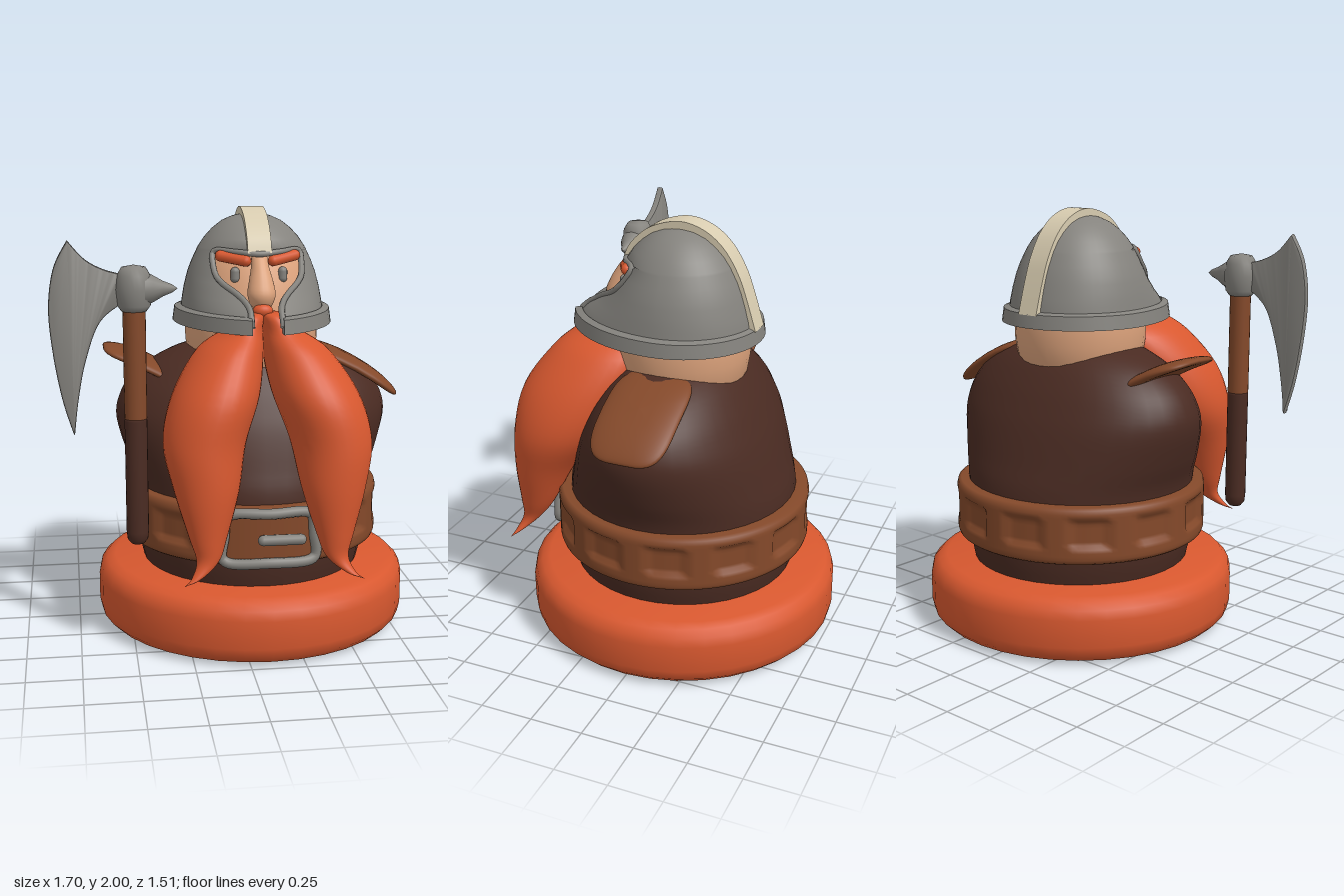
import * as THREE from 'three';
import { toCreasedNormals } from 'three/addons/utils/BufferGeometryUtils.js';

const mat = (name, color, side = THREE.FrontSide) => {
  const m = new THREE.MeshStandardMaterial({ color, side });
  m.name = name;
  return m;
};
const V = (x, y, z) => new THREE.Vector3(x, y, z);
const V2 = (x, y) => new THREE.Vector2(x, y);

// Skin between rings of points listed from bottom to top, counter-clockwise from above
function loft(rings, closed = true) {
  const n = rings[0].length, pos = [], idx = [];
  rings.forEach(r => r.forEach(p => pos.push(p.x, p.y, p.z)));
  for (let i = 0; i < rings.length - 1; i++) {
    for (let j = 0; j < (closed ? n : n - 1); j++) {
      const k = (j + 1) % n, a = i * n + j, b = i * n + k;
      idx.push(a, b, a + n, b, b + n, a + n);
    }
  }
  const g = new THREE.BufferGeometry();
  g.setAttribute('position', new THREE.Float32BufferAttribute(pos, 3));
  g.setIndex(idx);
  g.computeVertexNormals();
  return g;
}

// Smooth stack of ellipses from rows [y, centreX, centreZ, radiusX, radiusZ]
function ellipseLoft(rows, steps, n = 32) {
  const c = new THREE.CatmullRomCurve3(rows.map(r => V(r[1], r[0], r[2])), false, 'catmullrom');
  const s = new THREE.CatmullRomCurve3(rows.map(r => V(r[3], 0, r[4])), false, 'catmullrom');
  const rings = [];
  for (let i = 0; i <= steps; i++) {
    const o = c.getPoint(i / steps), r = s.getPoint(i / steps), ring = [];
    for (let j = 0; j < n; j++) {
      const a = j / n * Math.PI * 2;
      ring.push(V(o.x + Math.max(r.x, 0.001) * Math.sin(a), o.y, o.z + Math.max(r.z, 0.001) * Math.cos(a)));
    }
    rings.push(ring);
  }
  return loft(rings);
}

// Helmet outline at height y: half width w, back b, front f, opening half width ex, pointedness p
function outline([y, w, b, f, ex, p]) {
  const half = [], n = 12, end = Math.acos(Math.min(1, Math.pow(ex / w, 1 / p)));
  for (let i = 0; i <= n; i++) {
    const t = end * (1 - i / n);
    half.push(V(w * Math.pow(Math.max(0, Math.cos(t)), p), y, f * Math.sin(t)));
  }
  for (let i = 1; i <= n; i++) {
    const t = i / n * Math.PI / 2;
    half.push(V(w * Math.cos(t), y, -b * Math.sin(t)));
  }
  return half.concat(half.slice(0, -1).reverse().map(q => V(-q.x, q.y, q.z)));
}

export function createModel() {
  const orange = mat('orange', 0xd8582f), gray = mat('steel gray', 0x85837e, THREE.DoubleSide);
  const brown = mat('leather brown', 0x84492a), dark = mat('dark brown', 0x4a2b22);
  const skin = mat('skin', 0xdda37c), cream = mat('cream', 0xd8ccb0);

  const root = new THREE.Group();
  const figure = new THREE.Group();
  figure.name = 'figure';
  figure.position.x = 0.1;
  root.add(figure);
  const add = (name, geo, material, x = 0, y = 0, z = 0, parent = figure) => {
    const m = new THREE.Mesh(geo, material);
    m.name = name;
    m.position.set(x, y, z);
    parent.add(m);
    return m;
  };
  const lathe = (pts, seg = 32) => new THREE.LatheGeometry(pts.map(p => V2(p[0], p[1])), seg);

  // Round base
  add('base', toCreasedNormals(lathe([[0, 0], [0.67, 0], [0.71, 0.015], [0.74, 0.045], [0.75, 0.09], [0.75, 0.22],
    [0.74, 0.265], [0.71, 0.295], [0.67, 0.31], [0, 0.31]], 36), 0.7), orange);

  // Body: broad shoulders, narrow from the side
  add('body', ellipseLoft([[0.28, 0, 0, 0.52, 0.53], [0.43, 0, 0, 0.55, 0.55], [0.7, 0, 0, 0.56, 0.545],
    [0.85, 0, 0, 0.61, 0.505], [1.0, 0, 0, 0.65, 0.455], [1.1, 0, 0, 0.64, 0.41], [1.2, 0, 0, 0.58, 0.355],
    [1.3, 0, 0, 0.45, 0.28], [1.37, 0, 0, 0.26, 0.18], [1.39, 0, 0, 0, 0]], 36, 40), dark);

  // Belt with a row of pressed dents
  const profile = [[0.53, 0.43], [0.59, 0.43], [0.605, 0.44]];
  for (let y = 0.455; y < 0.68; y += 0.0165) profile.push([0.61, y]);
  profile.push([0.605, 0.69], [0.59, 0.7], [0.53, 0.7]);
  const belt = lathe(profile, 144), bp = belt.attributes.position;
  const edge = (d, half) => THREE.MathUtils.smoothstep(half - Math.abs(d), 0, 0.02);
  for (let i = 0; i < bp.count; i++) {
    const x = bp.getX(i), y = bp.getY(i), z = bp.getZ(i), a = Math.atan2(x, z);
    const step = Math.PI / 6, local = ((a + Math.PI * 2) % step) - step / 2;
    if (Math.abs(a) > step) {
      const k = 1 - 0.035 * edge(y - 0.575, 0.075) * edge(local * 0.61, 0.095);
      bp.setXYZ(i, x * k, y, z * k);
    }
  }
  belt.computeVertexNormals();
  add('belt', belt, brown);

  // Buckle frame bent around the belt, and its pin
  const corners = [[-0.17, 0.68], [0, 0.682], [0.17, 0.68], [0.195, 0.66], [0.205, 0.57], [0.215, 0.475],
    [0.19, 0.452], [0, 0.452], [-0.19, 0.452], [-0.215, 0.475], [-0.205, 0.57], [-0.195, 0.66]];
  const frame = new THREE.CatmullRomCurve3(corners.map(([x, y]) => V(x, y, Math.sqrt(0.39 - x * x))), true);
  add('buckleFrame', new THREE.TubeGeometry(frame, 80, 0.024, 10, true), gray);
  add('bucklePin', new THREE.CapsuleGeometry(0.025, 0.17, 6, 12).rotateZ(Math.PI / 2), gray, 0.05, 0.565, 0.64);

  // Head
  add('head', lathe([[0, 1.2], [0.2, 1.21], [0.27, 1.24], [0.3, 1.29], [0.315, 1.38], [0.318, 1.46], [0.31, 1.55],
    [0.295, 1.63], [0.265, 1.71], [0.235, 1.78], [0.17, 1.86], [0, 1.91]]), skin);
  add('nose', ellipseLoft([[1.55, 0, 0.325, 0.001, 0.001], [1.565, 0, 0.325, 0.04, 0.04], [1.62, 0, 0.325, 0.064, 0.064],
    [1.68, 0, 0.31, 0.056, 0.056], [1.74, 0, 0.28, 0.042, 0.05], [1.79, 0, 0.25, 0.036, 0.04]], 20, 20), skin);
  add('mouth', new THREE.SphereGeometry(1, 20, 12).scale(0.046, 0.032, 0.035), orange, 0, 1.556, 0.365);

  // Beard lobes, brows, eyes and shoulder pads, one per side
  const lobe = [[0.41, 0.4, 0.76, 0, 0], [0.435, 0.345, 0.735, 0.022, 0.018], [0.5, 0.29, 0.69, 0.05, 0.045],
    [0.6, 0.285, 0.655, 0.085, 0.085], [0.8, 0.285, 0.605, 0.145, 0.145], [1.0, 0.285, 0.525, 0.185, 0.215],
    [1.2, 0.225, 0.455, 0.195, 0.255], [1.38, 0.15, 0.365, 0.15, 0.225], [1.47, 0.085, 0.35, 0.085, 0.14],
    [1.54, 0.05, 0.36, 0.05, 0.08], [1.55, 0.05, 0.36, 0, 0]];
  for (const s of [1, -1]) {
    const side = s > 0 ? 'left' : 'right';
    add(side + 'Beard', ellipseLoft(lobe.map(r => [r[0], s * r[1], r[2], r[3], r[4]]), 50, 32), orange);

    const brow = new THREE.LineCurve3(V(s * 0.055, 1.768, 0.265), V(s * 0.18, 1.79, 0.2));
    const dir = brow.v2.clone().sub(brow.v1), mid = brow.getPoint(0.5);
    add(side + 'Eyebrow', new THREE.CapsuleGeometry(0.026, dir.length() - 0.02, 6, 12), orange, mid.x, mid.y, mid.z)
      .quaternion.setFromUnitVectors(V(0, 1, 0), dir.normalize());
    add(side + 'Eye', new THREE.CapsuleGeometry(0.021, 0.03, 6, 12), gray, s * 0.11, 1.705, 0.246);

    // Rounded, slightly domed pad sloping off the shoulder
    const pad = new THREE.SphereGeometry(1, 40, 20), p = pad.attributes.position;
    const soft = (v, e) => Math.sign(v) * Math.pow(Math.abs(v), e);
    for (let i = 0; i < p.count; i++) {
      const u = soft(p.getX(i), 0.55), w = soft(p.getZ(i), 0.55);
      p.setXYZ(i, u * 0.265, soft(p.getY(i), 0.8) * 0.026 + 0.035 * (1 - u * u) - 0.015 * w * w, w * 0.187);
    }
    pad.computeVertexNormals();
    add(side + 'ShoulderPad', pad, brown, s * 0.475, 1.225, 0).rotation.set(0, s > 0 ? 0 : Math.PI, -s * 0.5);
  }

  // Helmet shell, open at the face and drawn forward into cheek guards
  const rows = [
    [1.5, 0.34, 0.352, 0.53, 0.07, 1.25], [1.53, 0.335, 0.348, 0.515, 0.07, 1.25], [1.57, 0.33, 0.343, 0.47, 0.07, 1.2],
    [1.6, 0.325, 0.335, 0.425, 0.085, 1.15], [1.63, 0.32, 0.328, 0.39, 0.115, 1.1], [1.67, 0.31, 0.316, 0.345, 0.17, 1.05],
    [1.7, 0.302, 0.307, 0.32, 0.195, 1], [1.75, 0.283, 0.288, 0.288, 0.205, 1], [1.805, 0.257, 0.26, 0.264, 0.2, 1],
    [1.815, 0.252, 0.255, 0.258, 0, 1], [1.86, 0.222, 0.224, 0.226, 0, 1], [1.9, 0.185, 0.186, 0.187, 0, 1],
    [1.935, 0.14, 0.14, 0.14, 0, 1], [1.957, 0.09, 0.09, 0.09, 0, 1], [1.967, 0.045, 0.045, 0.045, 0, 1],
    [1.97, 0.001, 0.001, 0.001, 0, 1]];
  add('helmetShell', loft(rows.map(outline), false), gray);

  // Lip around the face opening
  const lip = rows.slice(0, 9).map(r => outline(r)[0]);
  lip.push(V(0.1, 1.808, 0.24));
  const lipPath = [...lip, V(0, 1.8, 0.268), ...lip.slice().reverse().map(q => V(-q.x, q.y, q.z))];
  add('helmetLip', new THREE.TubeGeometry(new THREE.CatmullRomCurve3(lipPath), 90, 0.014, 8), gray);

  // Thick rim with closed front ends
  const section = [[1.47, 0.31, 0.32, 0.49, 0.07, 1.25], [1.47, 0.375, 0.38, 0.555, 0.07, 1.25],
    [1.535, 0.366, 0.371, 0.545, 0.07, 1.25], [1.545, 0.335, 0.345, 0.51, 0.07, 1.25],
    [1.47, 0.31, 0.32, 0.49, 0.07, 1.25]].map(outline);
  add('helmetRim', toCreasedNormals(loft(section, false), 0.5), gray);
  for (const s of [0, section[0].length - 1]) {
    const q = section.map(r => r[s]);
    add('rimEnd', loft([[q[0], q[1]], [q[3], q[2]]], false), gray);
  }

  // Crest strip over the helmet from brow to back rim
  const crest = new THREE.Shape();
  crest.moveTo(0.275, 1.805);
  crest.splineThru([[0.235, 1.88], [0.14, 1.96], [0, 2], [-0.12, 1.973], [-0.215, 1.9], [-0.285, 1.79],
    [-0.33, 1.67], [-0.372, 1.53]].map(p => V2(...p)));
  crest.lineTo(-0.33, 1.53);
  crest.splineThru([[-0.29, 1.7], [-0.2, 1.85], [-0.1, 1.93], [0, 1.95], [0.11, 1.93], [0.2, 1.85],
    [0.24, 1.8]].map(p => V2(...p)));
  const crestGeo = new THREE.ExtrudeGeometry(crest, { depth: 0.11, bevelEnabled: false, curveSegments: 6 });
  add('helmetCrest', toCreasedNormals(crestGeo.translate(0, 0, -0.055).rotateY(-Math.PI / 2), 0.6), cream);

  // Axe
  const axe = new THREE.Group();
  axe.name = 'axe';
  axe.position.set(-0.485, 0, 0.5);
  root.add(axe);
  add('axeGrip', lathe([[0, 0.53], [0.03, 0.535], [0.046, 0.555], [0.05, 0.59], [0.05, 1.1], [0.048, 1.115], [0, 1.115]], 20),
    dark, 0, 0, 0, axe);
  add('axeHandle', new THREE.CylinderGeometry(0.05, 0.05, 0.5, 20), brown, 0, 1.36, 0, axe);
  add('axeHub', lathe([[0, 1.58], [0.055, 1.585], [0.073, 1.61], [0.08, 1.68], [0.073, 1.74], [0.052, 1.775], [0, 1.785]], 24),
    gray, 0, 0, 0, axe);
  add('axeSpike', lathe([[0.072, 0], [0.06, 0.035], [0.034, 0.08], [0.018, 0.12], [0, 0.145]], 20).rotateZ(-Math.PI / 2),
    gray, 0.045, 1.68, 0, axe);
  const blade = new THREE.Shape();
  blade.moveTo(-0.04, 1.74);
  blade.splineThru([[-0.13, 1.765], [-0.21, 1.81], [-0.28, 1.888]].map(p => V2(...p)));
  blade.splineThru([[-0.34, 1.77], [-0.365, 1.6], [-0.35, 1.4], [-0.315, 1.2], [-0.27, 1.045]].map(p => V2(...p)));
  blade.splineThru([[-0.25, 1.2], [-0.215, 1.37], [-0.15, 1.54], [-0.04, 1.63]].map(p => V2(...p)));
  const bladeGeo = new THREE.ExtrudeGeometry(blade, {
    depth: 0.014, bevelSize: 0.008, bevelThickness: 0.01, bevelOffset: -0.006, bevelSegments: 2, curveSegments: 8 });
  add('axeBlade', toCreasedNormals(bladeGeo.translate(0, 0, -0.007), 0.6), gray, 0, 0, 0, axe);

  return root;
}
